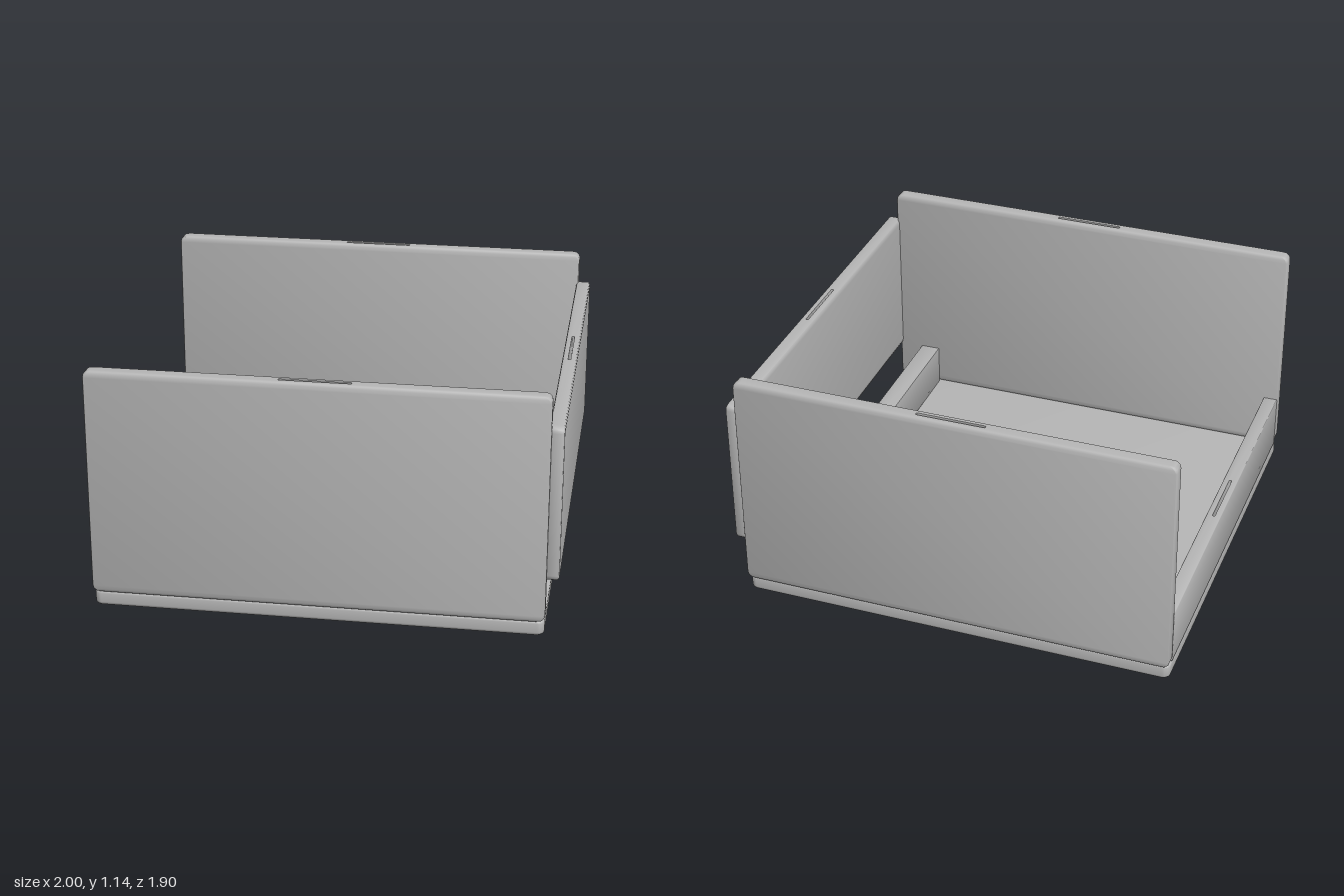
import * as THREE from 'three';
import { toCreasedNormals } from 'three/addons/utils/BufferGeometryUtils.js';

const grey = new THREE.MeshStandardMaterial({ color: 0xb6b6b6 });
grey.name = 'plainGrey';

// Rectangle outline with rounded corners, centred on the origin
function roundedRect(target, w, d, r) {
  const x = w / 2, y = d / 2, q = Math.PI / 2;
  target.absarc(x - r, y - r, r, 0, q);
  target.absarc(-x + r, y - r, r, q, 2 * q);
  target.absarc(-x + r, -y + r, r, 2 * q, 3 * q);
  target.absarc(x - r, -y + r, r, 3 * q, 4 * q);
  target.closePath();
  return target;
}

// Upright board of plan size w x d with a vertical opening;
// its top and bottom rims are drawn in by insetX and insetZ
function board(name, { w, d, y0, y1, x = 0, z = 0, hole, r = 0.012, insetX = 0.01, insetZ = 0.01, rim = 0.025 }) {
  const h = y1 - y0;
  const shape = roundedRect(new THREE.Shape(), w, d, r);
  shape.holes.push(roundedRect(new THREE.Path(), hole[0], hole[1], 0.005));
  const geo = new THREE.ExtrudeGeometry(shape, { depth: h, steps: 7, bevelEnabled: false, curveSegments: 4 });
  const levels = [0, rim * 0.13, rim * 0.5, rim, h - rim, h - rim * 0.5, h - rim * 0.13, h];
  const draw = [1, 0.5, 0.13, 0, 0, 0.13, 0.5, 1];
  const p = geo.attributes.position;
  for (let i = 0; i < p.count; i++) {
    const k = Math.round(p.getZ(i) / h * 7);
    const px = p.getX(i), py = p.getY(i);
    const inHole = Math.abs(px) < hole[0] / 2 + 1e-4 && Math.abs(py) < hole[1] / 2 + 1e-4;
    const f = inHole ? 0 : draw[k];
    p.setXYZ(i, px * (1 - f * insetX * 2 / w), py * (1 - f * insetZ * 2 / d), levels[k]);
  }
  geo.rotateX(-Math.PI / 2);
  const mesh = new THREE.Mesh(toCreasedNormals(geo, 0.7), grey);
  mesh.name = name;
  mesh.position.set(x, y0, z);
  return mesh;
}

export function createModel() {
  const group = new THREE.Group();
  group.name = 'openTray';

  // Base plate with a square opening
  group.add(board('basePlate', {
    w: 1.94, d: 1.86, y0: 0.05, y1: 0.12, x: -0.027, hole: [0.305, 0.295],
    r: 0.03, insetX: 0.012, insetZ: 0.012, rim: 0.015,
  }));

  // Tall front and back panels, slotted along the top
  for (const [name, s] of [['frontPanel', 1], ['backPanel', -1]]) {
    group.add(board(name, {
      w: 1.945, d: 0.066, y0: 0.122, y1: 1.14, x: -0.027, z: s * 0.917,
      hole: [0.305, 0.014], insetX: 0.03, rim: 0.03,
    }));
  }

  // Raised left side panel, hung outside the base
  group.add(board('leftPanel', {
    w: 0.066, d: 1.855, y0: 0.308, y1: 1.0, x: 0.966,
    hole: [0.012, 0.295], insetZ: 0.025, rim: 0.025,
  }));

  // Low lip on the right side and low inner divider
  group.add(board('rightLip', {
    w: 0.066, d: 1.775, y0: 0.118, y1: 0.37, x: -0.965,
    hole: [0.012, 0.295], r: 0.004, insetX: 0.004, insetZ: 0.002, rim: 0.008,
  }));
  group.add(board('innerDivider', {
    w: 0.09, d: 1.775, y0: 0.118, y1: 0.31, x: 0.786,
    hole: [0.014, 0.295], r: 0.003, insetX: 0.002, insetZ: 0.002, rim: 0.004,
  }));

  // Round feet
  for (const s of [1, -1]) {
    const foot = new THREE.Mesh(new THREE.CylinderGeometry(0.185, 0.185, 0.055, 48), grey);
    foot.name = s > 0 ? 'frontFoot' : 'backFoot';
    foot.position.set(0.6, 0.0275, s * 0.372);
    group.add(foot);
  }
  return group;
}
